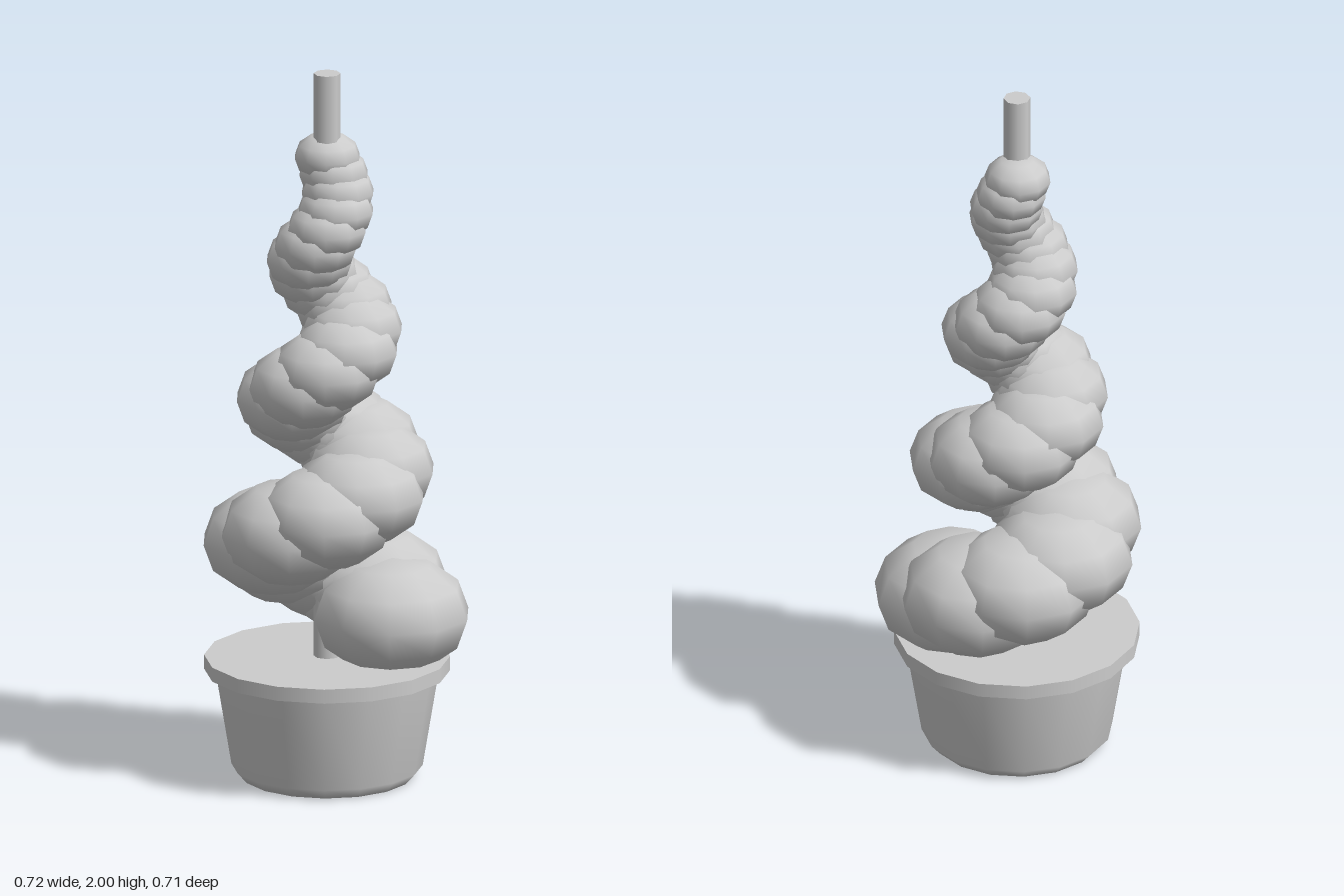
import * as THREE from 'three';

export function createModel() {
  const model = new THREE.Group();
  model.name = 'spiralTopiary';
  const gray = new THREE.MeshStandardMaterial({ color: 0xcccccc });
  gray.name = 'plain gray';
  const axisX = -0.027, axisZ = 0.014; // trunk and pot axis

  const add = (name, geometry, x, y, z, parent = model) => {
    const mesh = new THREE.Mesh(geometry, gray);
    mesh.name = name;
    mesh.position.set(x, y, z);
    parent.add(mesh);
    return mesh;
  };

  // Tapered pot with softly rounded base
  const profile = [[0, 0], [0.235, 0], [0.262, 0.03], [0.305, 0.29], [0.305, 0.31]]
    .map(([r, y]) => new THREE.Vector2(r, y));
  add('pot', new THREE.LatheGeometry(profile, 16), axisX, 0, axisZ);

  // Crisp rim, closed by the flat soil surface
  add('potRim', new THREE.CylinderGeometry(0.337, 0.337, 0.04, 16), axisX, 0.32, axisZ);

  // Trunk running through the whole plant
  add('trunk', new THREE.CylinderGeometry(0.037, 0.037, 1.7, 8), axisX, 1.15, axisZ);

  // Foliage: flattened balls climbing in a shrinking spiral, eight to a turn
  const foliage = new THREE.Group();
  foliage.name = 'foliageSpiral';
  model.add(foliage);
  const ball = new THREE.SphereGeometry(1, 10, 6).rotateY(Math.PI / 2);
  for (let i = 0; i <= 26; i++) {
    const angle = i * Math.PI / 4;
    const reach = 0.176 - 0.0078 * i + 0.00007 * i * i;
    const radius = 0.22 - 0.0049 * i;
    const y = 0.46 + 0.0525 * i - 0.0001 * i * i;
    add('foliageBall' + (i + 1), ball,
      axisX + reach * Math.cos(angle), y, axisZ - reach * Math.sin(angle), foliage)
      .scale.set(radius, radius * 0.74, radius);
  }
  return model;
}
